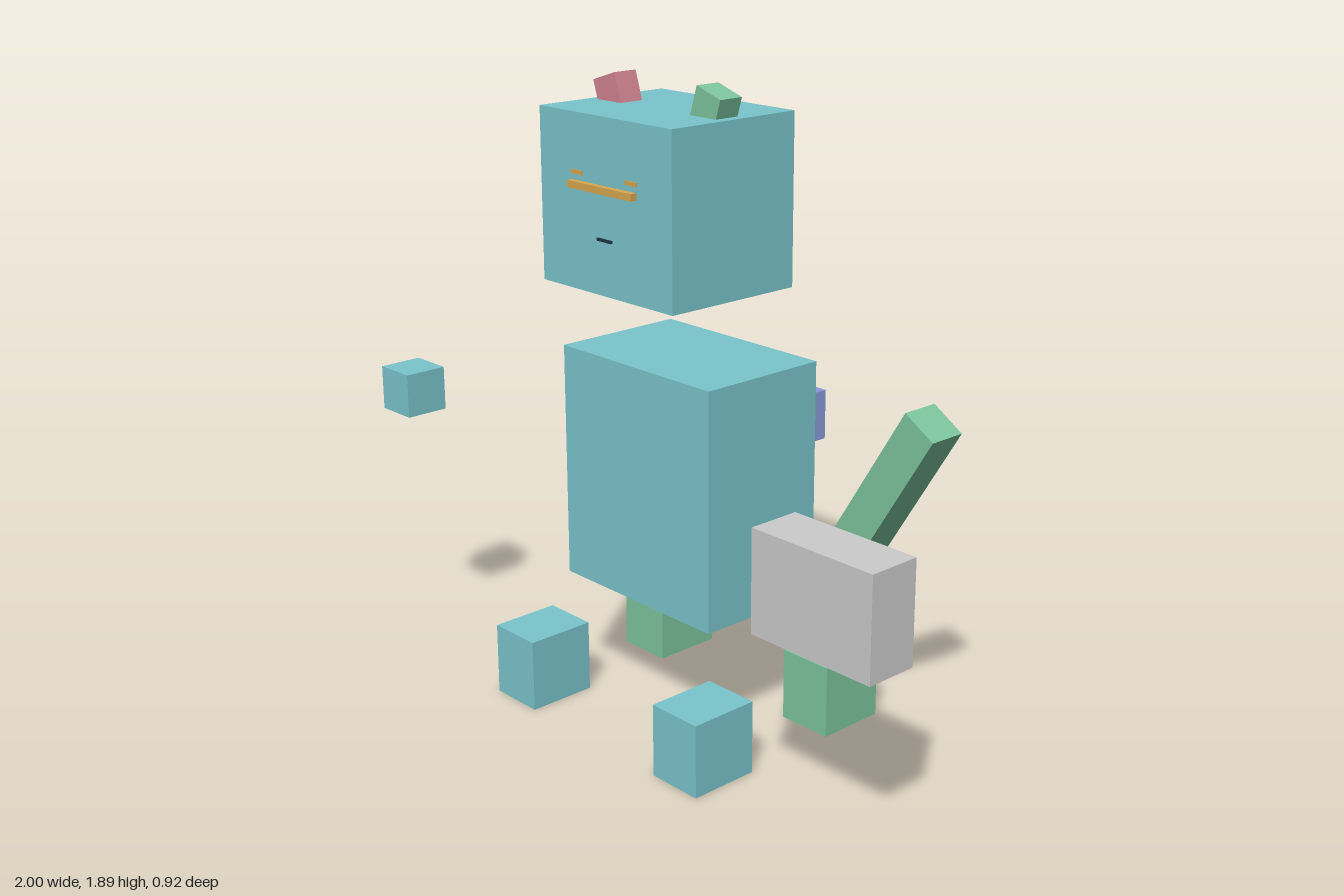
import * as THREE from 'three';

const material = (color) => new THREE.MeshStandardMaterial({ color });
const teal = material(0x7ac5cd);
const green = material(0x7cc59e);
const red = material(0xd08490);
const blue = material(0x8a9ad8);
const amber = material(0xd8a850);
const dark = material(0x1c3440);
const grey = material(0xcccccc);

export function createModel() {
  const model = new THREE.Group();

  // Box given by its centre, size and roll about z
  const box = (name, mat, [x, y, z], [w, h, d], roll = 0) => {
    const mesh = new THREE.Mesh(new THREE.BoxGeometry(w, h, d), mat);
    mesh.name = name;
    mesh.position.set(x, y, z);
    mesh.rotation.z = roll;
    model.add(mesh);
  };

  // Body and head
  box('torso', teal, [-0.062, 0.745, 0.033], [0.615, 0.71, 0.415]);
  box('head', teal, [-0.06, 1.565, 0.113], [0.54, 0.49, 0.445]);

  // Ears, feet and eyebrows, mirrored about the body's centre line
  for (const side of [-1, 1]) {
    const name = side < 0 ? 'right' : 'left';
    const x = (offset) => -0.062 + side * offset;
    box(name + 'Ear', side < 0 ? red : green, [x(0.196), 1.825, 0.113], [0.095, 0.11, 0.078], -side * 0.31);
    box(name + 'FrontFoot', teal, [x(0.358), 0.11, 0.31], [0.175, 0.22, 0.215]);
    box(name + 'BackFoot', green, [x(0.358), 0.11, -0.205], [0.175, 0.22, 0.215]);
    box(name + 'Eyebrow', amber, [x(0.112), 1.647, 0.336], [0.047, 0.012, 0.004]);
  }

  // Face
  box('eyeBar', amber, [-0.062, 1.615, 0.345], [0.265, 0.02, 0.02]);
  box('mouth', dark, [-0.06, 1.476, 0.337], [0.06, 0.008, 0.008]);

  // Arm, hands and tail
  box('leftArm', green, [0.555, 0.793, -0.145], [0.115, 0.57, 0.118], -0.556);
  box('leftHandBlock', grey, [0.792, 0.708, 0.33], [0.413, 0.295, 0.157]);
  box('rightHand', teal, [-0.932, 0.873, 0.39], [0.135, 0.135, 0.135]);
  box('tail', blue, [-0.062, 0.823, -0.422], [0.155, 0.155, 0.075]);

  return model;
}
